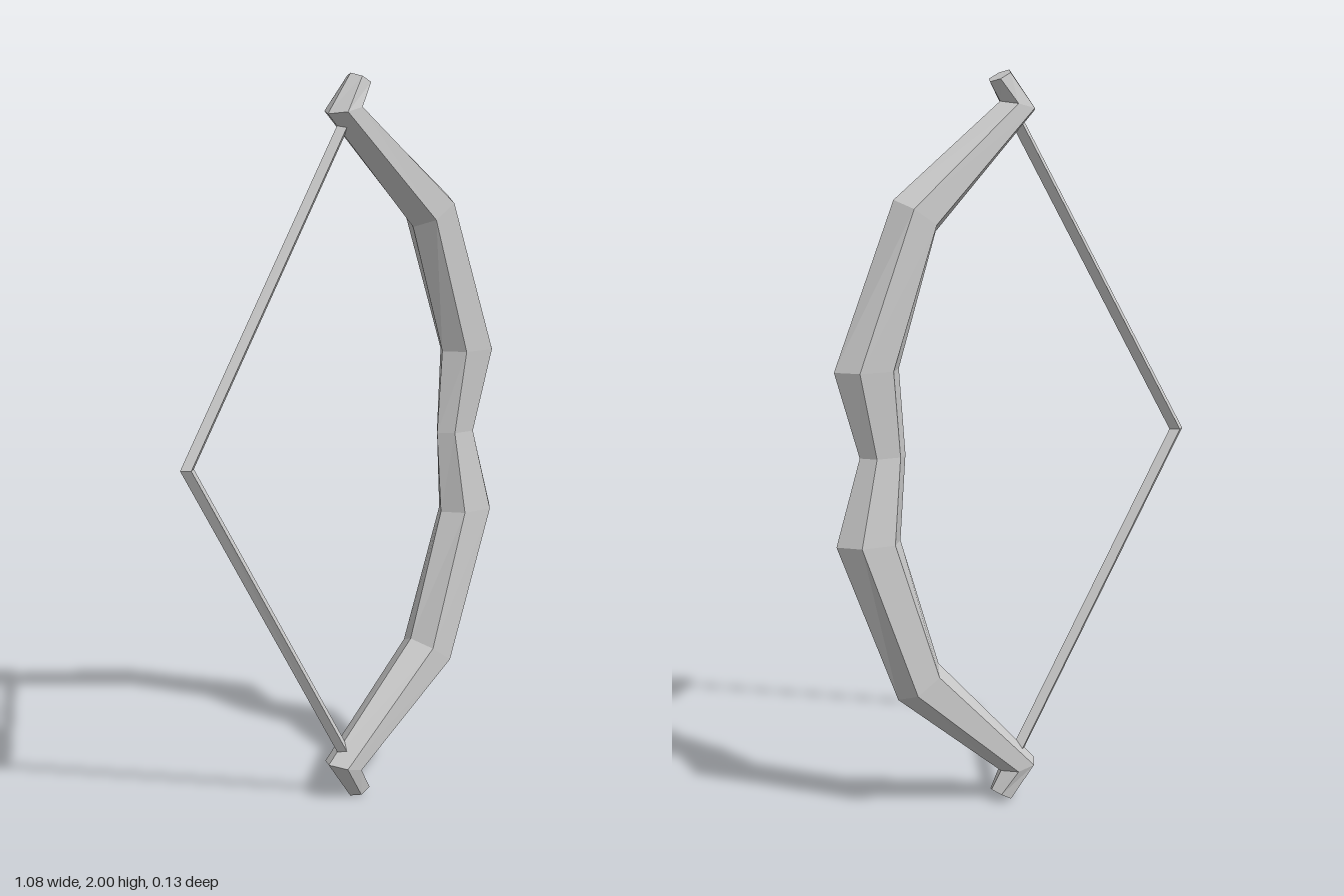
import * as THREE from 'three';

const material = new THREE.MeshStandardMaterial({ color: 0xcccccc, flatShading: true });

// Skin a list of rings (equal point counts, counter-clockwise from above) and cap both ends.
function loft(name, rings) {
  const pos = [];
  const tri = (a, b, c) => pos.push(...a, ...b, ...c);
  const n = rings[0].length;
  for (let r = 0; r < rings.length - 1; r++) {
    const a = rings[r], b = rings[r + 1];
    for (let i = 0; i < n; i++) {
      const j = (i + 1) % n;
      tri(a[i], a[j], b[j]);
      tri(a[i], b[j], b[i]);
    }
  }
  const first = rings[0], last = rings[rings.length - 1];
  for (let i = 1; i < n - 1; i++) {
    tri(first[0], first[i + 1], first[i]);
    tri(last[0], last[i], last[i + 1]);
  }
  const geometry = new THREE.BufferGeometry();
  geometry.setAttribute('position', new THREE.Float32BufferAttribute(pos, 3));
  geometry.computeVertexNormals();
  const mesh = new THREE.Mesh(geometry, material);
  mesh.name = name;
  return mesh;
}

// Reflect the upper rings about y = 1, sharing the middle ring.
function mirrorRings(upper) {
  const lower = upper.slice(1).reverse().map(ring => ring.map(([x, y, z]) => [x, 2 - y, z]));
  return [...lower, ...upper];
}

// Six-sided section: inner ridge, two flat sides, outer ridge.
const hexRing = ([inner, innerSide, outerSide, outer, z]) => [
  [...inner, 0], [...innerSide, z], [...outerSide, z],
  [...outer, 0], [...outerSide, -z], [...innerSide, -z],
];

// Four-sided diamond section of the string.
const diamondRing = (outer, mid, inner, y, z) => [
  [outer, y, 0], [mid, y, z], [inner, y, 0], [mid, y, -z],
];

export function createModel() {
  const bow = new THREE.Group();
  bow.name = 'bow';

  // Grip, limb knees, bend at the nock, nock end
  const limbRings = [
    [[0.337, 1], [0.37, 1], [0.438, 1], [0.47, 1], 0.038],
    [[0.354, 1.23], [0.396, 1.23], [0.492, 1.23], [0.54, 1.23], 0.055],
    [[0.243, 1.583], [0.272, 1.604], [0.337, 1.647], [0.365, 1.668], 0.063],
    [[-0.055, 1.894], [-0.027, 1.9], [0.022, 1.912], [0.05, 1.918], 0.05],
    [[0.022, 2], [0.036, 1.992], [0.066, 1.976], [0.08, 1.968], 0.032],
  ].map(hexRing);
  bow.add(loft('bowLimbs', mirrorRings(limbRings)));

  // Drawn string running from nock to nock
  const stringRings = [
    diamondRing(-0.54, -0.519, -0.497, 1, 0.02),
    diamondRing(-0.02, 0.0, 0.022, 1.87, 0.02),
  ];
  bow.add(loft('bowString', mirrorRings(stringRings)));

  return bow;
}
